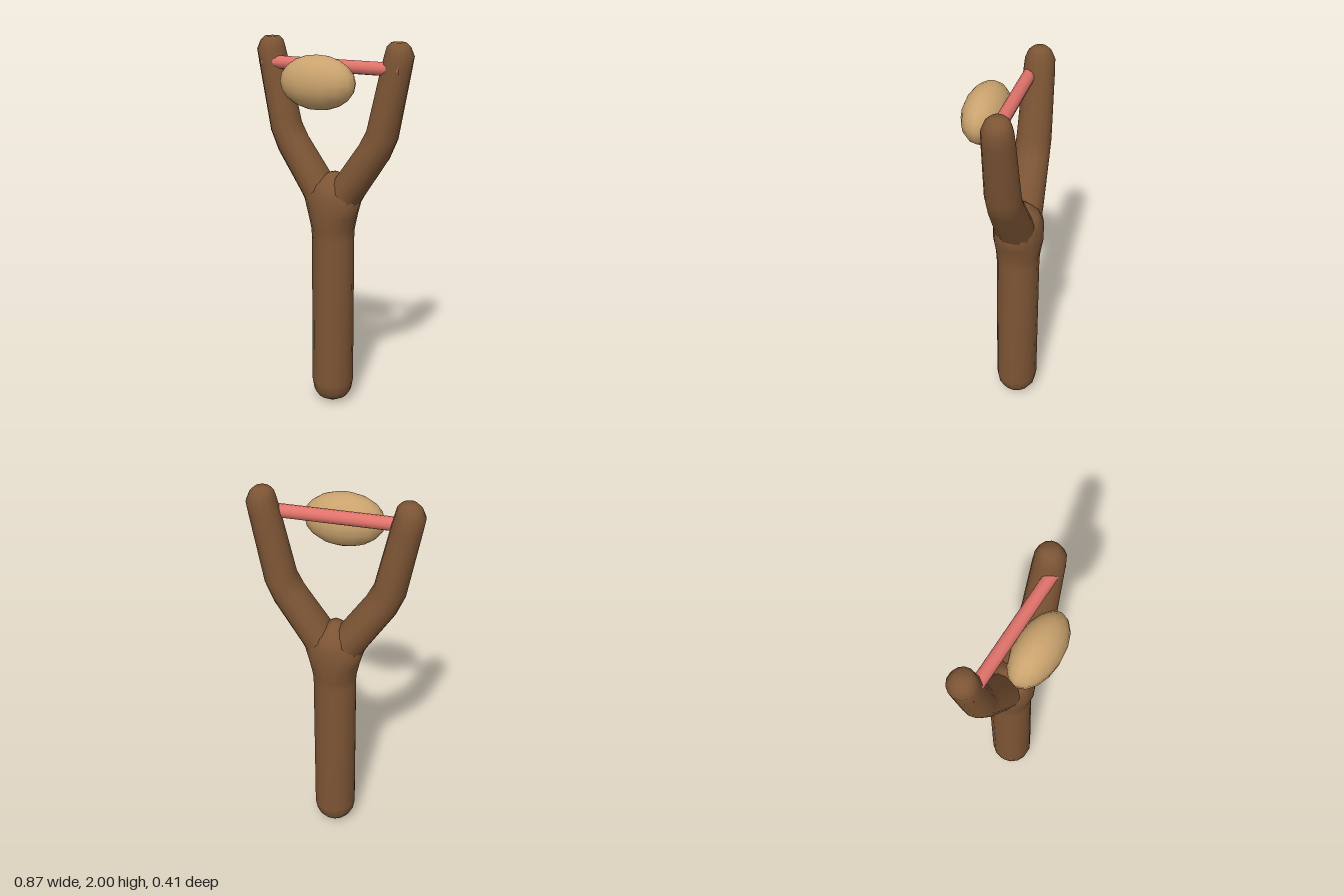
import * as THREE from 'three';

const SIDES = 14;
const AXIS_Z = -0.073;

// Skin over elliptical rings listed bottom to top: [x, y, half width, half depth, tilt]
function loft(rings) {
  const pos = [], index = [];
  for (const [x, y, rx, rz, tilt = 0] of rings) {
    for (let i = 0; i < SIDES; i++) {
      const a = (i / SIDES) * Math.PI * 2;
      const w = Math.cos(a) * rx;
      pos.push(x + w * Math.cos(tilt), y + w * Math.sin(tilt), AXIS_Z + Math.sin(a) * rz);
    }
  }
  for (let r = 0; r < rings.length - 1; r++) {
    for (let i = 0; i < SIDES; i++) {
      const n = (i + 1) % SIDES;
      const a = r * SIDES + i, b = r * SIDES + n, c = a + SIDES, d = b + SIDES;
      index.push(a, c, b, b, c, d);
    }
  }
  const g = new THREE.BufferGeometry();
  g.setAttribute('position', new THREE.Float32BufferAttribute(pos, 3));
  g.setIndex(index);
  g.computeVertexNormals();
  return g;
}

export function createModel() {
  const group = new THREE.Group();
  const material = (name, color) => {
    const m = new THREE.MeshStandardMaterial({ color });
    m.name = name;
    return m;
  };
  const wood = material('brown wood', 0x7d5535);
  const rubber = material('red rubber', 0xe0736b);
  const leather = material('tan leather', 0xcaa36e);

  const add = (name, geometry, mat) => {
    const mesh = new THREE.Mesh(geometry, mat);
    mesh.name = name;
    group.add(mesh);
    return mesh;
  };

  // Handle with a rounded foot, swelling where the fork begins
  add('handle', loft([
    [0, 0, 0, 0], [0, 0.008, 0.04, 0.04], [0, 0.03, 0.08, 0.08],
    [0, 0.065, 0.103, 0.103], [0, 0.12, 0.113, 0.113],
    [0, 0.95, 0.113, 0.113], [0, 1.0, 0.115, 0.118],
    [0, 1.08, 0.132, 0.131], [0, 1.18, 0.162, 0.13],
    [0, 1.25, 0.1, 0.108], [0, 1.305, 0.025, 0.04], [0, 1.31, 0, 0],
  ]), wood);

  // Two bent prongs with rounded tips
  for (const s of [1, -1]) {
    add(s > 0 ? 'leftProng' : 'rightProng', loft([
      [0.03, 1.11, 0.088, 0.1, -0.56], [0.093, 1.23, 0.09, 0.104, -0.56],
      [0.235, 1.44, 0.086, 0.092, -0.5], [0.277, 1.53, 0.083, 0.09, -0.3],
      [0.348, 1.87, 0.076, 0.079, -0.18], [0.362, 1.935, 0.074, 0.075, -0.1],
      [0.358, 1.975, 0.06, 0.06, -0.05], [0.355, 1.996, 0.038, 0.038],
      [0.355, 2.0, 0, 0],
    ].map(([x, y, rx, rz, t = 0]) => [x * s, y, rx, rz, t * s])), wood);
  }

  // Elastic band between the prongs
  const band = add('band', new THREE.CylinderGeometry(0.034, 0.034, 0.77, 12), rubber);
  band.rotation.z = Math.PI / 2;
  band.position.set(0, 1.867, -0.035);

  // Egg-shaped pouch in front of the band
  const pouch = add('pouch', new THREE.SphereGeometry(1, 16, 10), leather);
  pouch.scale.set(0.205, 0.137, 0.113);
  pouch.position.set(-0.005, 1.798, 0.093);

  return group;
}
